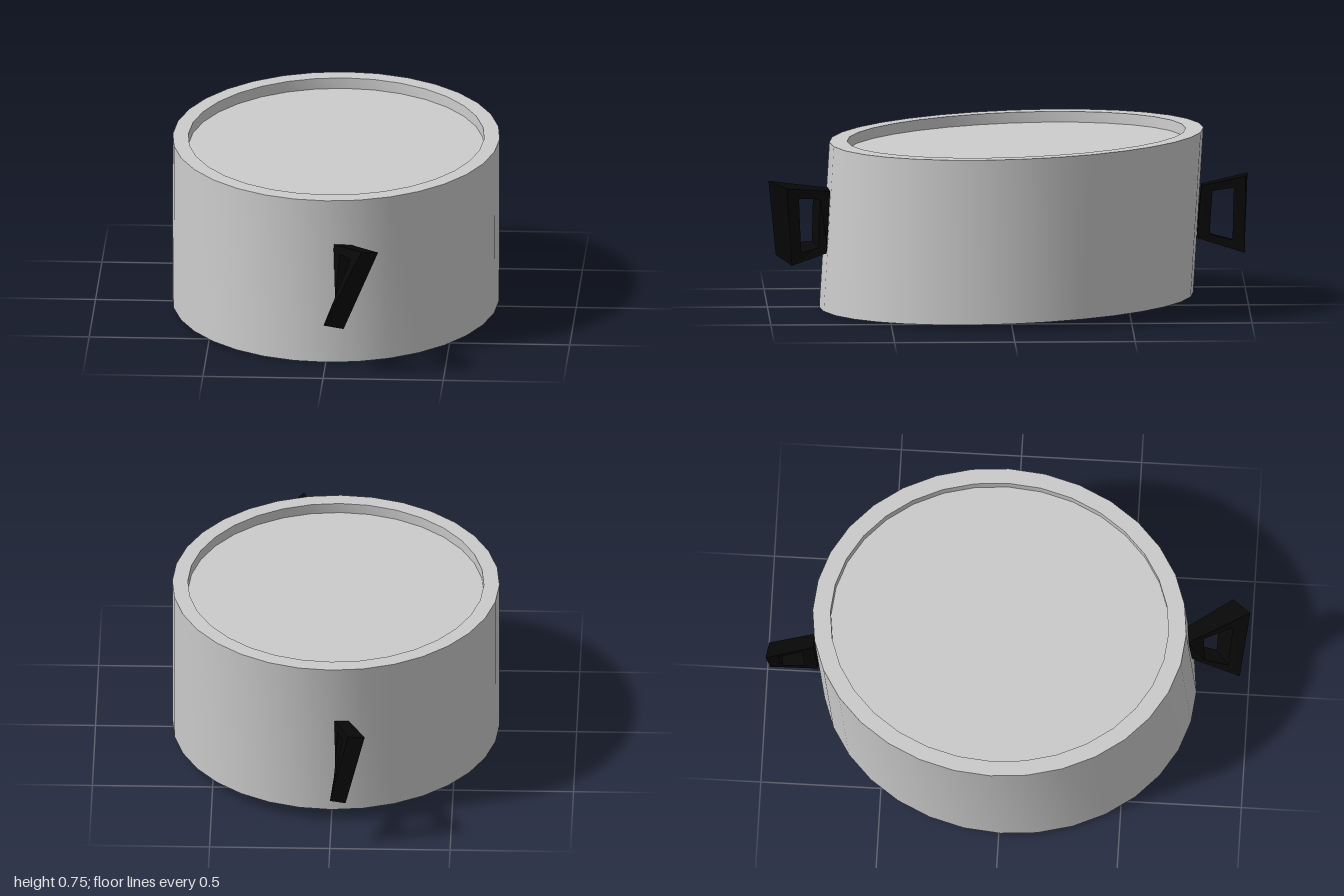
import * as THREE from 'three';
import { toCreasedNormals } from 'three/addons/utils/BufferGeometryUtils.js';

const bodyMaterial = new THREE.MeshStandardMaterial({ color: 0xcccccc });
const handleMaterial = new THREE.MeshStandardMaterial({ color: 0x080808, flatShading: true });

// Oval tub with a shallow recessed top, leaning slightly backwards
function makeBody() {
  const profile = [[0, 0], [1, 0], [1, 1], [0.905, 1], [0.905, 0.935], [0, 0.935]]
    .map(([r, y]) => new THREE.Vector2(r, y));
  const lean = new THREE.Matrix4().makeBasis(
    new THREE.Vector3(0.68, 0, 0),
    new THREE.Vector3(0, 0.692, -0.042),
    new THREE.Vector3(0, -0.0275, 0.7775)
  ).setPosition(0, 0.033, 0.007);
  const geometry = new THREE.LatheGeometry(profile, 32).applyMatrix4(lean);
  const mesh = new THREE.Mesh(toCreasedNormals(geometry, Math.PI / 6), bodyMaterial);
  mesh.name = 'body';
  return mesh;
}

// Closed four-bar handle. Each side lists its corners in the order:
// outer top, outer bottom, wall bottom, wall top.
function makeHandle(name, left, right) {
  const barU = 0.26, barV = 0.13; // bar thickness as a share of the frame
  const inset = [[barU, barV], [barU, 1 - barV], [1 - barU, 1 - barV], [1 - barU, barV]];
  const inner = (side) => {
    const [ot, ob, wb, wt] = side;
    return inset.map(([u, v]) =>
      ot.clone().lerp(wt, u).lerp(ob.clone().lerp(wb, u), v));
  };
  const toVectors = (side) => side.map((p) => new THREE.Vector3(...p));
  const L = toVectors(left), R = toVectors(right);
  const rails = [L, R, inner(R), inner(L)];

  // Join the four rails around the four corners
  const points = [];
  for (let i = 0; i < 4; i++) {
    for (let j = 0; j < 4; j++) {
      const i2 = (i + 1) % 4, j2 = (j + 1) % 4;
      const a = rails[j][i], b = rails[j][i2], c = rails[j2][i2], d = rails[j2][i];
      points.push(a, b, c, a, c, d);
    }
  }
  const geometry = new THREE.BufferGeometry().setFromPoints(points);
  geometry.computeVertexNormals();
  const mesh = new THREE.Mesh(geometry, handleMaterial);
  mesh.name = name;
  return mesh;
}

export function createModel() {
  const model = new THREE.Group();
  model.name = 'pot';
  model.add(makeBody());

  // Twisted handles on the front and back walls
  model.add(makeHandle('frontHandle',
    [[0.16, 0.56, 1.0], [0, 0.225, 0.965], [0.05, 0.265, 0.765], [0.03, 0.51, 0.745]],
    [[0.225, 0.535, 0.925], [0.08, 0.19, 0.9], [0.115, 0.25, 0.75], [0.1, 0.505, 0.735]]));
  model.add(makeHandle('backHandle',
    [[-0.075, 0.535, -0.99], [0, 0.225, -0.985], [-0.02, 0.285, -0.785], [-0.015, 0.505, -0.805]],
    [[-0.145, 0.54, -1.0], [-0.065, 0.215, -0.985], [-0.085, 0.28, -0.785], [-0.075, 0.505, -0.805]]));
  return model;
}
